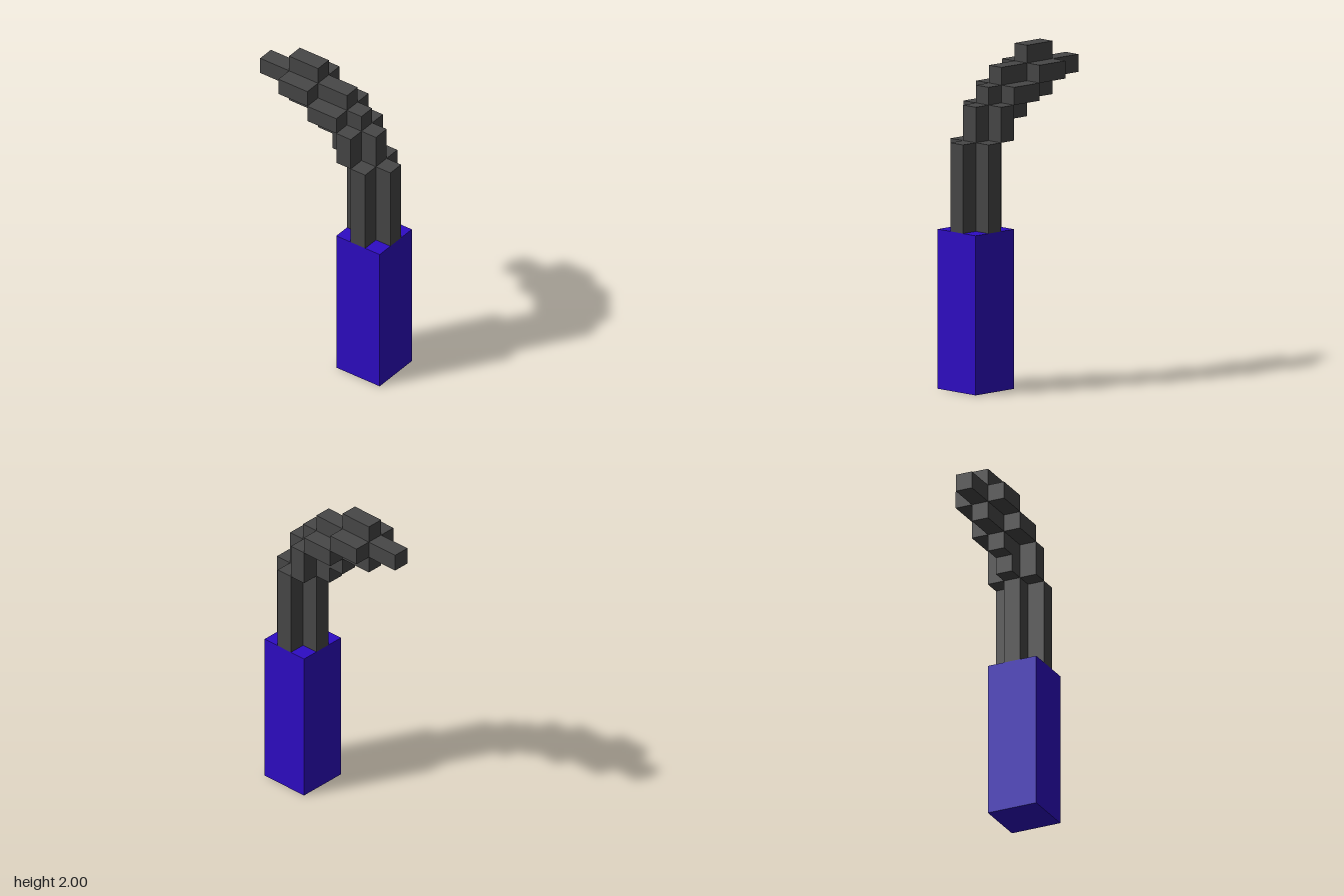
import * as THREE from 'three';

// One cube of the blocky grid: the model is 19 cubes tall, 3 wide and 9 deep
const U = 2 / 19;

export function createModel() {
  const model = new THREE.Group();
  model.name = 'curvedTool';

  const blue = new THREE.MeshStandardMaterial({ color: 0x2e0cc4 });
  blue.name = 'blue grip';
  const grey = new THREE.MeshStandardMaterial({ color: 0x474747 });
  grey.name = 'dark grey';

  // Box between grid lines; depth d counts cubes backwards from the front
  function block(parent, name, material, [x0, x1], [y0, y1], [d0, d1]) {
    const geometry = new THREE.BoxGeometry((x1 - x0) * U, (y1 - y0) * U, (d1 - d0) * U);
    const mesh = new THREE.Mesh(geometry, material);
    mesh.name = name;
    mesh.position.set(((x0 + x1) / 2) * U, ((y0 + y1) / 2) * U, (4.5 - (d0 + d1) / 2) * U);
    parent.add(mesh);
  }

  // Plus-shaped segment: a spine one cube wide with a rib on each side
  function segment(name, spines, ribY, ribD) {
    const group = new THREE.Group();
    group.name = name;
    for (const [y, d] of spines) block(group, name + 'Spine', grey, [-0.5, 0.5], y, d);
    block(group, name + 'LeftRib', grey, [0.5, 1.5], ribY, ribD);
    block(group, name + 'RightRib', grey, [-1.5, -0.5], ribY, ribD);
    model.add(group);
  }

  // Square grip
  block(model, 'grip', blue, [-1.5, 1.5], [0, 9], [0, 3]);

  // Upright shaft, then segments stepping up and backwards
  segment('shaft', [[[9, 14], [0, 3]]], [9, 14], [1, 2]);
  segment('lowerBend', [[[14, 16], [1, 4]], [[16, 17], [2, 3]]], [14, 16], [2, 3]);
  segment('upperBend', [[[16, 18], [3, 5]], [[15, 16], [4, 5]]], [16, 17], [3, 5]);
  segment('head', [[[16, 19], [5, 7]]], [17, 18], [5, 7]);

  // Narrow tip
  block(model, 'tip', grey, [-0.5, 0.5], [17, 18], [7, 9]);

  return model;
}
